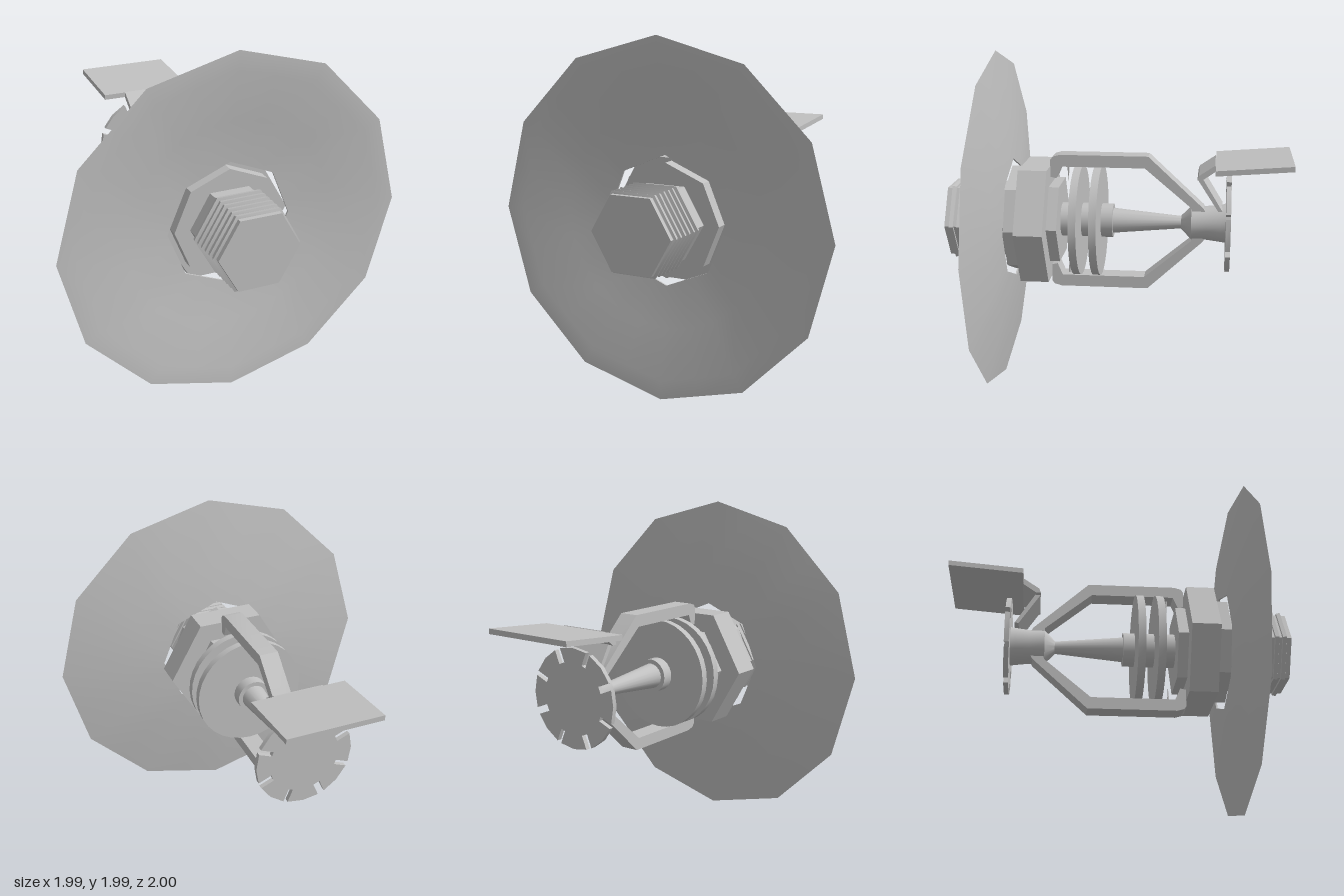
import * as THREE from 'three';
import { toCreasedNormals } from 'three/addons/utils/BufferGeometryUtils.js';

const CREASE = 0.6;

export function createModel() {
  const model = new THREE.Group();
  model.name = 'sprinklerHead';
  const metal = new THREE.MeshStandardMaterial({ color: 0xc0c0c0, side: THREE.DoubleSide });
  metal.name = 'brushedMetal';

  // everything is built around the z axis, then lifted to its height
  const body = new THREE.Group();
  body.name = 'body';
  body.position.y = 0.995;
  model.add(body);

  function add(name, geometry, parent = body) {
    const mesh = new THREE.Mesh(toCreasedNormals(geometry, CREASE), metal);
    mesh.name = name;
    parent.add(mesh);
    return mesh;
  }

  // turned part: profile of [radius, z] with z rising, closed at both ends
  function turned(name, profile, sides) {
    const ends = [[0, profile[0][1]], ...profile, [0, profile[profile.length - 1][1]]];
    const points = ends.map(([r, z]) => new THREE.Vector2(r, z));
    return add(name, new THREE.LatheGeometry(points, sides, Math.PI / 2).rotateX(Math.PI / 2));
  }

  // bar cut from a [z, y] outline, with its width across x
  function bar(name, outline, width, parent = body) {
    const shape = new THREE.Shape(outline.map(([z, y]) => new THREE.Vector2(z, y)));
    const geo = new THREE.ExtrudeGeometry(shape, { depth: width, bevelEnabled: false });
    return add(name, geo.translate(0, 0, -width / 2).rotateY(-Math.PI / 2), parent);
  }

  // threaded inlet: hexagonal core with saw-tooth ridges
  const thread = [[0.23, 0.55], [0.23, 0.72]];
  for (let i = 0; i < 6; i++) {
    const z = 0.725 + i * 0.044;
    const r = 0.257 - i * 0.001;
    thread.push([0.235, z], [r - 0.006, z + 0.002], [r, z + 0.024], [0.235, z + 0.028]);
  }
  thread.push([0.235, 1]);
  turned('threadedInlet', thread, 6);

  // collars and wrench nut
  turned('octagonCollar', [[0.32, 0.55], [0.32, 0.635]], 8);
  turned('wrenchNut', [[0.387, 0.398], [0.387, 0.565]], 6);
  turned('rearCollar', [[0.26, 0.338], [0.26, 0.405]], 6);

  // orifice stem, sealing discs and tapered pin
  turned('stem', [[0.1, 0.032], [0.1, 0.345]], 24);
  [0.122, 0.238].forEach((z) => turned('sealDisc', [[0.328, z - 0.022], [0.328, z + 0.022]], 32));
  turned('taperedPin', [[0.035, -0.39], [0.075, 0.04]], 20);

  // boss that joins the arms behind the pin
  turned('boss', [[0.115, -0.635], [0.11, -0.6], [0.1, -0.52], [0.1, -0.43], [0.04, -0.37]], 24);

  // wall dish: octagonal hole blending into a twelve-sided rim
  const polygon = (n, t) => {
    const step = (Math.PI * 2) / n;
    return Math.cos(step / 2) / Math.cos((t % step) - step / 2);
  };
  const rings = [
    [0.362, 0.628, 8], [0.6, 0.652, 24], [0.995, 0.715, 12],
    [0.89, 0.713, 12], [0.6, 0.662, 24], [0.362, 0.638, 8],
  ];
  const steps = 24;
  const positions = [];
  const index = [];
  for (const [r, z, n] of rings) {
    for (let j = 0; j < steps; j++) {
      const t = (j / steps) * Math.PI * 2 + 1e-6;
      const d = r * polygon(n, t);
      positions.push(d * Math.cos(t), d * Math.sin(t), z);
    }
  }
  for (let i = 0; i < rings.length; i++) {
    for (let j = 0; j < steps; j++) {
      const k = (j + 1) % steps;
      const p = i * steps;
      const q = ((i + 1) % rings.length) * steps;
      index.push(p + j, p + k, q + k, p + j, q + k, q + j);
    }
  }
  const dish = new THREE.BufferGeometry();
  dish.setAttribute('position', new THREE.Float32BufferAttribute(positions, 3));
  dish.setIndex(index);
  add('wallDish', dish);

  // frame arms above and below, each with a small inward spur
  for (const side of [1, -1]) {
    const arm = new THREE.Group();
    arm.name = side > 0 ? 'upperArm' : 'lowerArm';
    arm.rotation.z = side > 0 ? 0 : Math.PI;
    bar('frameArm', [
      [0.4, 0.27], [0.4, 0.37], [0.385, 0.39], [0.345, 0.402], [-0.175, 0.402],
      [-0.5, 0.1], [-0.52, 0.06], [-0.44, 0.06], [-0.43, 0.1], [-0.155, 0.332],
      [0.335, 0.332], [0.365, 0.262],
    ], 0.112, arm);
    add('spur', new THREE.ConeGeometry(0.008, 0.1, 6).rotateX(Math.PI).translate(0, 0.285, 0.3), arm);
    body.add(arm);
  }

  // notched deflector disc
  const outline = [];
  const R = 0.285;
  for (let i = 0; i < 8; i++) {
    const a = (i / 8) * Math.PI * 2 + Math.PI / 8;
    const half = i % 2 ? 0.02 : 0.014;
    const inner = 0.205;
    const at = (r, w) => new THREE.Vector2(
      r * Math.cos(a) - w * Math.sin(a), r * Math.sin(a) + w * Math.cos(a));
    outline.push(at(R, -half), at(inner, -half), at(inner, half), at(R, half));
    const mid = a + Math.PI / 8;
    outline.push(new THREE.Vector2(R * Math.cos(mid), R * Math.sin(mid)));
  }
  add('deflector', new THREE.ExtrudeGeometry(new THREE.Shape(outline), {
    depth: 0.028, bevelEnabled: false,
  }).translate(0, 0, -0.658));

  // bent bracket carrying the flat shield plate
  bar('bracketLower', [[-0.61, 0.1], [-0.585, 0.1], [-0.462, 0.29], [-0.485, 0.305]], 0.23);
  bar('bracketUpper', [[-0.462, 0.29], [-0.47, 0.315], [-0.562, 0.378], [-0.578, 0.352], [-0.488, 0.288]], 0.29);
  bar('shieldPlate', [[-0.565, 0.345], [-0.565, 0.375], [-1, 0.41], [-1, 0.38]], 0.55);

  return model;
}
